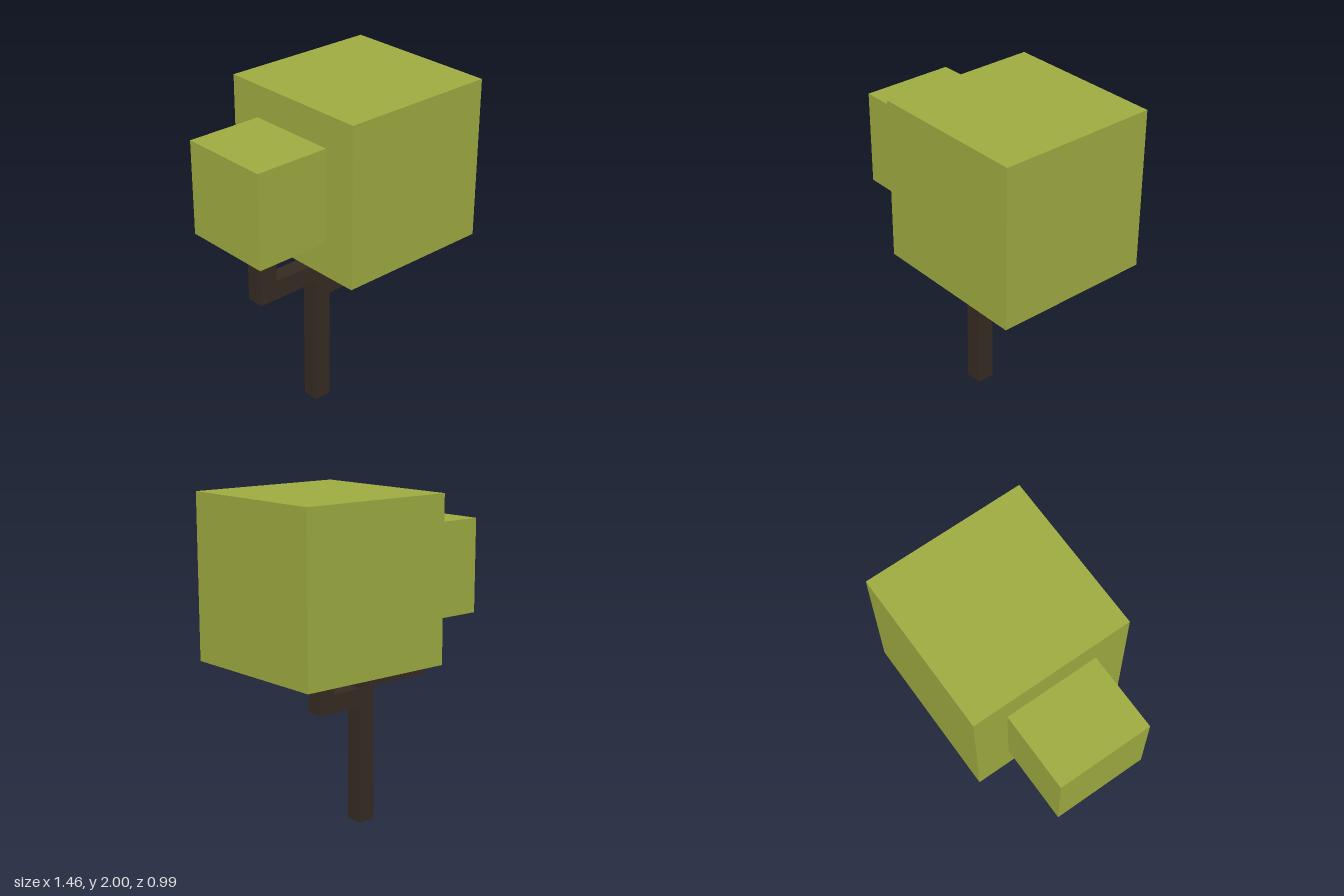
import * as THREE from 'three';

const DEPTH = 0.11;

export function createModel() {
  const tree = new THREE.Group();
  tree.name = 'tree';

  const leaves = new THREE.MeshStandardMaterial({ color: 0x9fac41 });
  leaves.name = 'leafGreen';
  const bark = new THREE.MeshStandardMaterial({ color: 0x352b22, side: THREE.DoubleSide });
  bark.name = 'barkBrown';

  const add = (name, geometry, material, x, y, z) => {
    const mesh = new THREE.Mesh(geometry, material);
    mesh.name = name;
    mesh.position.set(x, y, z);
    tree.add(mesh);
  };

  // Leaf blocks; the small one is sunk into the side of the large one
  add('largeCrown', new THREE.BoxGeometry(0.985, 0.98, 0.985), leaves, 0.234, 1.51, 0);
  add('smallCrown', new THREE.BoxGeometry(0.57, 0.57, 0.572), leaves, -0.445, 1.518, 0);

  // Square trunk, hollow at the foot: drop the top and bottom faces of a box
  const trunk = new THREE.BoxGeometry(0.106, 0.72, DEPTH);
  trunk.setIndex(Array.from(trunk.index.array).filter((_, i) => i < 12 || i >= 24));
  trunk.clearGroups();
  add('trunk', trunk, bark, -0.076, 0.36, 0);

  // Forked branches as one stepped outline with thickness
  const outline = [
    [-0.129, 0.72], [0.28, 0.72], [0.28, 1.004], [0.18, 1.004], [0.18, 0.834], [-0.023, 0.834],
    [-0.023, 0.954], [-0.428, 0.954], [-0.428, 1.235], [-0.543, 1.235], [-0.543, 0.836], [-0.129, 0.836],
  ].map(([x, y]) => new THREE.Vector2(x, y));
  const branches = new THREE.ExtrudeGeometry(new THREE.Shape(outline), { depth: DEPTH, bevelEnabled: false });
  add('branches', branches, bark, 0, 0, -DEPTH / 2);

  return tree;
}
